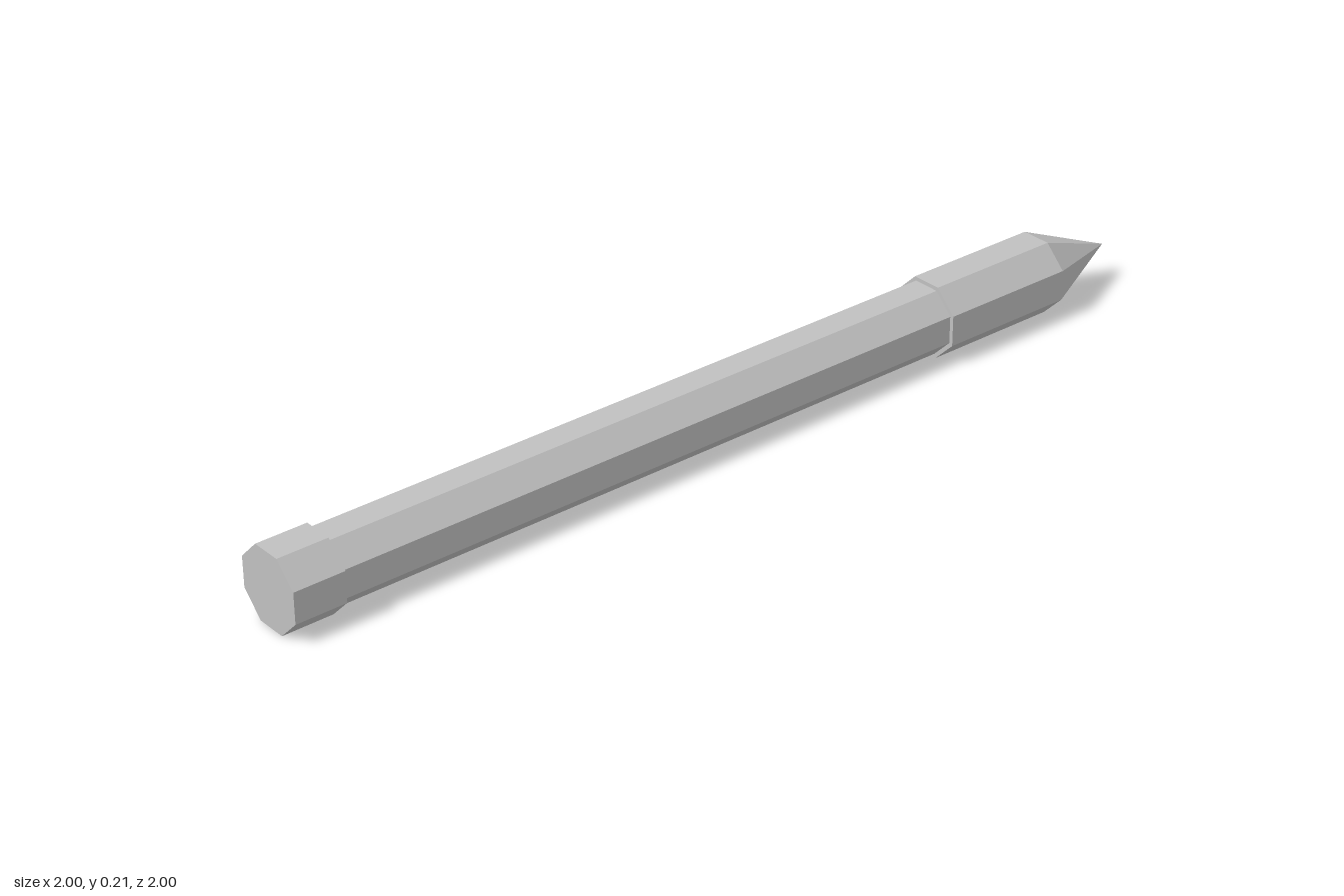
import * as THREE from 'three';

export function createModel() {
  const model = new THREE.Group();
  model.name = 'octagonalStake';
  const grey = new THREE.MeshStandardMaterial({ color: 0xc0c0c0 });
  grey.name = 'grey';
  grey.flatShading = true;

  // Shaft runs along local y, then is laid flat on the diagonal
  const shaft = new THREE.Group();
  shaft.name = 'shaft';
  model.add(shaft);

  // Eight-sided section between two stations; radii are measured to the flats
  function section(name, from, to, rFrom, rTo, open) {
    const k = 1 / Math.cos(Math.PI / 8);
    const geo = new THREE.CylinderGeometry(rTo * k, rFrom * k, to - from, 8, 1, open, Math.PI / 8);
    geo.translate(0, (from + to) / 2, 0);
    const mesh = new THREE.Mesh(geo, grey);
    mesh.name = name;
    shaft.add(mesh);
  }

  const R = 0.104;
  section('endCap', -1.31, -1.167, R, R, false);
  section('body', -1.167, 0.75, 0.093, 0.093, true);
  section('collar', 0.75, 1.153, R, R, false);
  section('point', 1.153, 1.414, R, 0, true);

  // Lay down towards +x, then turn the tip to the back
  shaft.rotation.set(0, Math.PI / 4, -Math.PI / 2, 'YXZ');
  shaft.position.y = R;
  return model;
}
